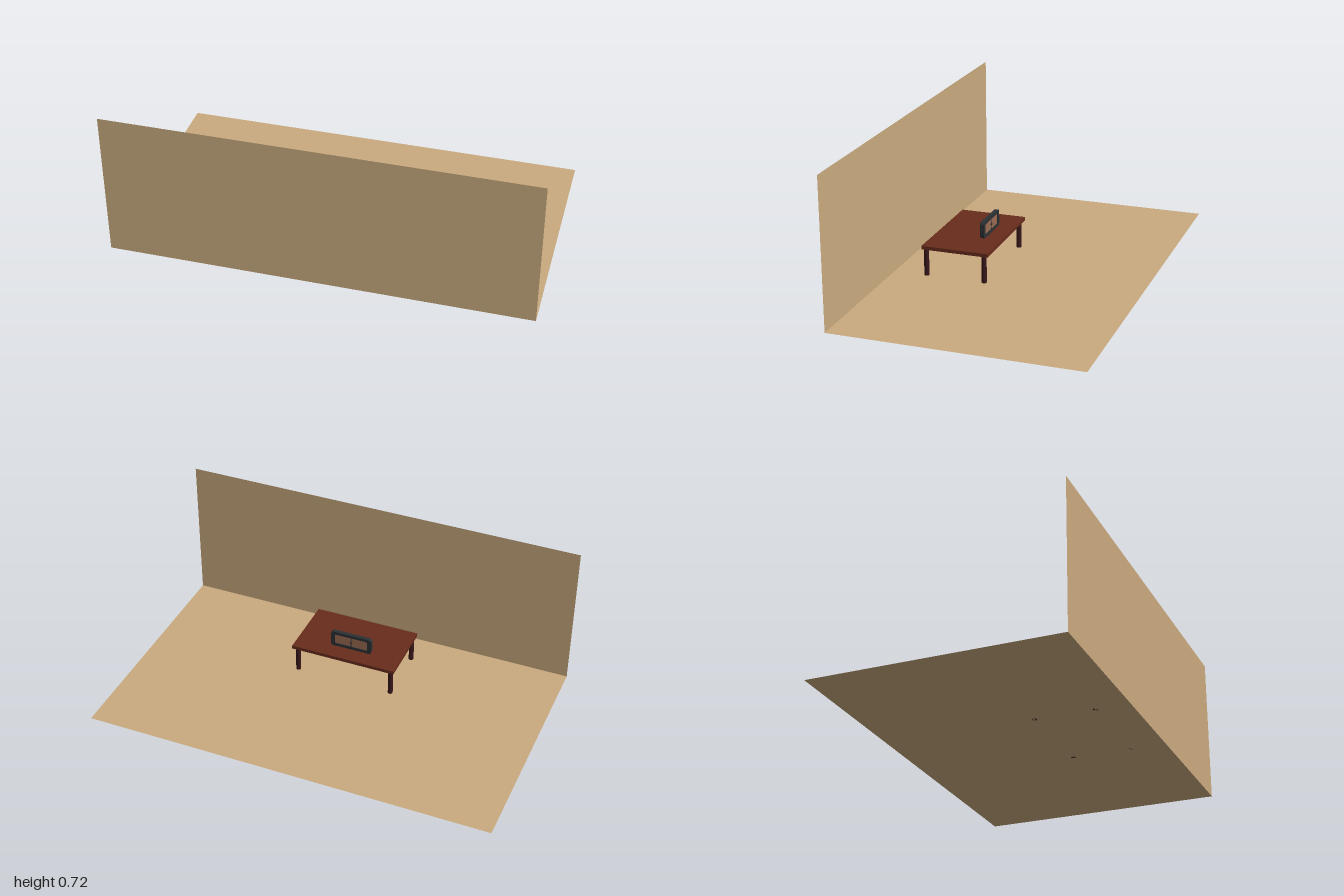
import * as THREE from 'three';

const paint = (color, side = THREE.FrontSide) => new THREE.MeshStandardMaterial({ color, side });

function add(parent, name, geometry, material, x, y, z) {
  const mesh = new THREE.Mesh(geometry, material);
  mesh.name = name;
  mesh.position.set(x, y, z);
  parent.add(mesh);
  return mesh;
}

// Rounded rectangle centred on the origin
function roundedRect(target, w, h, r) {
  const x = w / 2, y = h / 2;
  target.moveTo(-x + r, -y);
  target.lineTo(x - r, -y);
  target.absarc(x - r, -y + r, r, -Math.PI / 2, 0);
  target.lineTo(x, y - r);
  target.absarc(x - r, y - r, r, 0, Math.PI / 2);
  target.lineTo(-x + r, y);
  target.absarc(-x + r, y - r, r, Math.PI / 2, Math.PI);
  target.lineTo(-x, -y + r);
  target.absarc(-x + r, -y + r, r, Math.PI, Math.PI * 1.5);
  return target;
}

export function createModel() {
  const model = new THREE.Group();
  model.name = 'roomCorner';

  // Floor and the single wall, both paper thin
  const sand = paint(0xc9aa7e, THREE.DoubleSide);
  add(model, 'floor', new THREE.PlaneGeometry(2, 1.186), sand, 0, 0, 0).rotation.x = -Math.PI / 2;
  add(model, 'wall', new THREE.PlaneGeometry(2, 0.72), sand, 0, 0.36, 0.593);

  // Low table with four round legs
  const table = new THREE.Group();
  table.name = 'table';
  model.add(table);
  add(table, 'tableTop', new THREE.BoxGeometry(0.53, 0.017, 0.33), paint(0x672c1c), 0, 0.1435, 0.281);
  const legGeometry = new THREE.CylinderGeometry(0.0122, 0.0122, 0.136, 24);
  const legPaint = paint(0x38171a);
  for (const x of [-0.243, 0.243]) {
    for (const z of [0.141, 0.43]) add(table, 'tableLeg', legGeometry, legPaint, x, 0.068, z);
  }

  // Desk clock standing on the table, its face turned to -z
  const clock = new THREE.Group();
  clock.name = 'deskClock';
  clock.position.set(-0.012, 0.195, 0.208);
  clock.rotation.y = Math.PI;
  model.add(clock);
  const dark = paint(0x2b3033);

  // Back shell with tapered rear edge
  const shell = new THREE.ExtrudeGeometry(roundedRect(new THREE.Shape(), 0.196, 0.068, 0.008), {
    depth: 0.005, bevelThickness: 0.006, bevelSize: 0.007, bevelSegments: 3, curveSegments: 6,
  });
  add(clock, 'clockShell', shell, dark, 0, 0, -0.006);

  // Raised frame around the face
  const rim = roundedRect(new THREE.Shape(), 0.21, 0.082, 0.014);
  rim.holes.push(roundedRect(new THREE.Path(), 0.168, 0.052, 0.006));
  const frame = new THREE.ExtrudeGeometry(rim, { depth: 0.011, bevelEnabled: false, curveSegments: 6 });
  add(clock, 'clockFrame', frame, dark, 0, 0, 0);

  // Recessed face with a divider and a small central button
  add(clock, 'clockFace', new THREE.BoxGeometry(0.168, 0.052, 0.002), paint(0x9a6a52), 0, 0, 0.0065);
  add(clock, 'faceDivider', new THREE.BoxGeometry(0.003, 0.05, 0.002), dark, 0, 0, 0.008);
  const button = add(clock, 'faceButton', new THREE.CylinderGeometry(0.005, 0.006, 0.006, 16), dark, 0, 0, 0.01);
  button.rotation.x = Math.PI / 2;

  return model;
}
